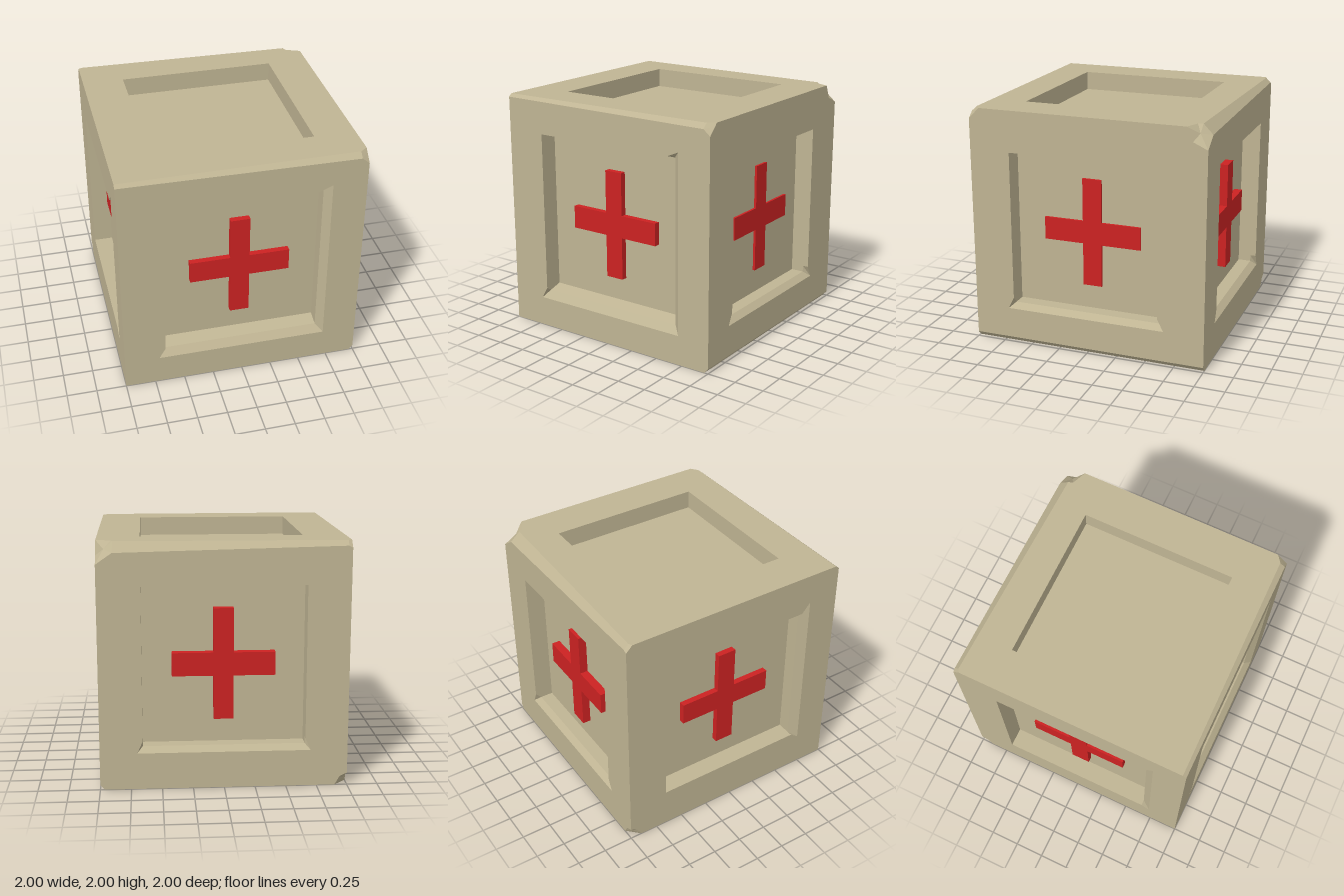
import * as THREE from 'three';

const tan = new THREE.MeshStandardMaterial({ color: 0xbfb493 });
tan.name = 'tan';
const red = new THREE.MeshStandardMaterial({ color: 0xcc2222 });
red.name = 'red';

const DEPTH = 0.16; // depth of every recess
const H = 0.655;    // half size of a recess floor

function named(name, geometry, material) {
  const mesh = new THREE.Mesh(geometry, material);
  mesh.name = name;
  return mesh;
}

function fromTriangles(points) {
  const g = new THREE.BufferGeometry();
  g.setAttribute('position', new THREE.Float32BufferAttribute(points.flat(), 3));
  g.computeVertexNormals();
  return g;
}

// Flat patch between 3D corners, turned to face away from the middle of the box
function patch(name, corners) {
  const n = corners.length;
  const mid = [0, 1, 2].map((k) => corners.reduce((s, p) => s + p[k], 0) / n);
  const normal = new THREE.Vector3();
  const m = new THREE.Vector3(...mid);
  const v = corners.map((p) => new THREE.Vector3(...p).sub(m));
  v.forEach((a, i) => normal.add(a.clone().cross(v[(i + 1) % n])));
  const out = normal.dot(m.clone().setY(m.y - 1)) > 0;
  const tris = [];
  corners.forEach((p, i) => {
    const q = corners[(i + 1) % n];
    tris.push(mid, out ? p : q, out ? q : p);
  });
  return named(name, fromTriangles(tris), tan);
}

// Walls joining two matching loops of a recess
function walls(a, da, b, db) {
  const tris = [];
  a.forEach((p, i) => {
    const j = (i + 1) % a.length;
    const p0 = [...p, -da], p1 = [...a[j], -da], q0 = [...b[i], -db], q1 = [...b[j], -db];
    tris.push(p0, p1, q1, p0, q1, q0);
  });
  return named('recessWall', fromTriangles(tris), tan);
}

const clampTo = (loop, [u0, u1, v0, v1]) =>
  loop.map(([u, v]) => [Math.min(u1, Math.max(u0, u)), Math.min(v1, Math.max(v0, v))]);

const toPoints = (loop) => loop.map(([u, v]) => new THREE.Vector2(u, v));

// Raised cross standing on the recess floor
function cross(thickness) {
  const a = 0.08, b = 0.415, lo = -0.09, hi = 0.1;
  const outline = [[-a, -0.45], [a, -0.45], [a, lo], [b, lo], [b, hi], [a, hi],
    [a, 0.46], [-a, 0.46], [-a, hi], [-b, hi], [-b, lo], [-a, lo]];
  const g = new THREE.ExtrudeGeometry(new THREE.Shape(toPoints(outline)),
    { depth: thickness, bevelEnabled: false });
  g.translate(0, 0, -DEPTH);
  return named('cross', g, red);
}

// One side of the box: frame, recess and optional cross, in its own u, v, outward axes
function side({ name, u, v, outer, rim, lip, floor, crossHeight }) {
  const U = new THREE.Vector3(...u), V = new THREE.Vector3(...v);
  const N = U.clone().cross(V);
  const group = new THREE.Group();
  group.name = name;
  const local = outer.map((p) => {
    const q = new THREE.Vector3(p[0], p[1] - 1, p[2]);
    return [q.dot(U), q.dot(V)];
  });
  const shape = new THREE.Shape(toPoints(local));
  shape.holes.push(new THREE.Path(toPoints(rim)));
  group.add(named('frame', new THREE.ShapeGeometry(shape), tan));

  // worn lip, then the wall down to the floor
  const middle = clampTo(rim, lip || floor);
  group.add(walls(rim, 0, middle, 0.05), walls(middle, 0.05, clampTo(rim, floor), DEPTH));
  const [u0, u1, v0, v1] = floor;
  const plate = new THREE.PlaneGeometry(u1 - u0, v1 - v0);
  plate.translate((u0 + u1) / 2, (v0 + v1) / 2, -DEPTH);
  group.add(named('recessFloor', plate, tan));
  if (crossHeight) group.add(cross(crossHeight));

  group.applyMatrix4(new THREE.Matrix4().makeBasis(U, V, N).setPosition(N.x, N.y + 1, N.z));
  return group;
}

export function createModel() {
  const model = new THREE.Group();
  model.name = 'crate';

  // chipped corners and worn edges
  const A = [1, 2, -0.83], B = [1, 1.885, -0.88], C = [1, 1.83, -1];
  const D = [0.88, 2, -0.88], E = [0.865, 2, -0.92], F = [0.87, 1.92, -1];
  const fl1 = [-1, 1.975, 1], fl2 = [-1, 2, 0.97], fr1 = [0.94, 1.96, 1], fr2 = [0.94, 2, 0.955];
  const fc1 = [1, 1.91, 1], fc2 = [1, 2, 0.91];
  const bl1 = [-0.97, 2, -0.96], bl2 = [-0.97, 1.96, -1], bl3 = [-1, 1.945, -1], bl4 = [-1, 2, -0.945];
  const rb1 = [0.965, 0, 1], rb2 = [1, 0.04, 1], rb3 = [1, 0.04, -1], rb4 = [0.965, 0, -1];
  const c1 = [-1, 0.1, -1], c2 = [-0.94, 0.07, -1], c3 = [-0.9, 0, -1], c4 = [-1, 0, -0.9], c5 = [-1, 0.07, -0.94];
  const corner = [-1, 0, 1];

  model.add(
    patch('frontTopEdge', [fl1, fr1, fr2, fl2]),
    patch('frontCornerChip', [fr1, fc1, fc2, fr2]),
    patch('rightBottomEdge', [rb1, rb4, rb3, rb2]),
    patch('backTopEdge', [E, bl1, bl2, F]),
    patch('backLeftTopChip', [bl1, bl4, bl3, bl2]),
    patch('backCornerChip', [A, B, C, F, E, D]),
    patch('backBottomChip', [c1, c2, c3, c4, c5]),
  );

  const square = [[-H, -H], [H, -H], [H, H], [-H, H]];
  const full = [-H, H, -H, H];
  const sides = [
    { name: 'frontSide', u: [1, 0, 0], v: [0, 1, 0], floor: full, lip: [-H, H, -0.685, 0.7], crossHeight: 0.05,
      outer: [corner, rb1, rb2, fc1, fr1, fl1],
      rim: [[-0.71, -0.75], [0.715, -0.75], [0.715, 0.75], [0.6, 0.7], [-H, 0.7], [-H, -H]] },
    { name: 'rightSide', u: [0, 0, -1], v: [0, 1, 0], floor: [-H, 0.61, -H, H], crossHeight: 0.02,
      outer: [rb2, rb3, C, B, A, fc2, fc1],
      rim: [[-0.705, -0.7], [0.66, -0.7], [0.61, -0.6], [0.61, H], [-H, H], [-H, -0.6]] },
    { name: 'backSide', u: [-1, 0, 0], v: [0, 1, 0], floor: full, crossHeight: 0.07,
      outer: [rb4, c3, c2, c1, bl3, bl2, F, C, rb3],
      rim: [[-0.7, -0.7], [0.7, -0.7], [H, -0.6], [H, H], [-H, H], [-H, -0.6]] },
    { name: 'leftSide', u: [0, 0, 1], v: [0, 1, 0], floor: full, crossHeight: 0.05,
      outer: [c4, corner, fl1, fl2, bl4, bl3, c1, c5],
      rim: [[-H, -H], [H, -H], [0.73, -0.71], [0.73, 0.74], [H, H], [-H, H]] },
    { name: 'topSide', u: [1, 0, 0], v: [0, 0, -1], floor: full, rim: square,
      outer: [fl2, fr2, fc2, A, D, E, bl1, bl4] },
    { name: 'bottomSide', u: [1, 0, 0], v: [0, 0, 1], floor: full, rim: square,
      outer: [corner, rb1, rb4, c3, c4] },
  ];
  sides.forEach((s) => model.add(side(s)));
  return model;
}
